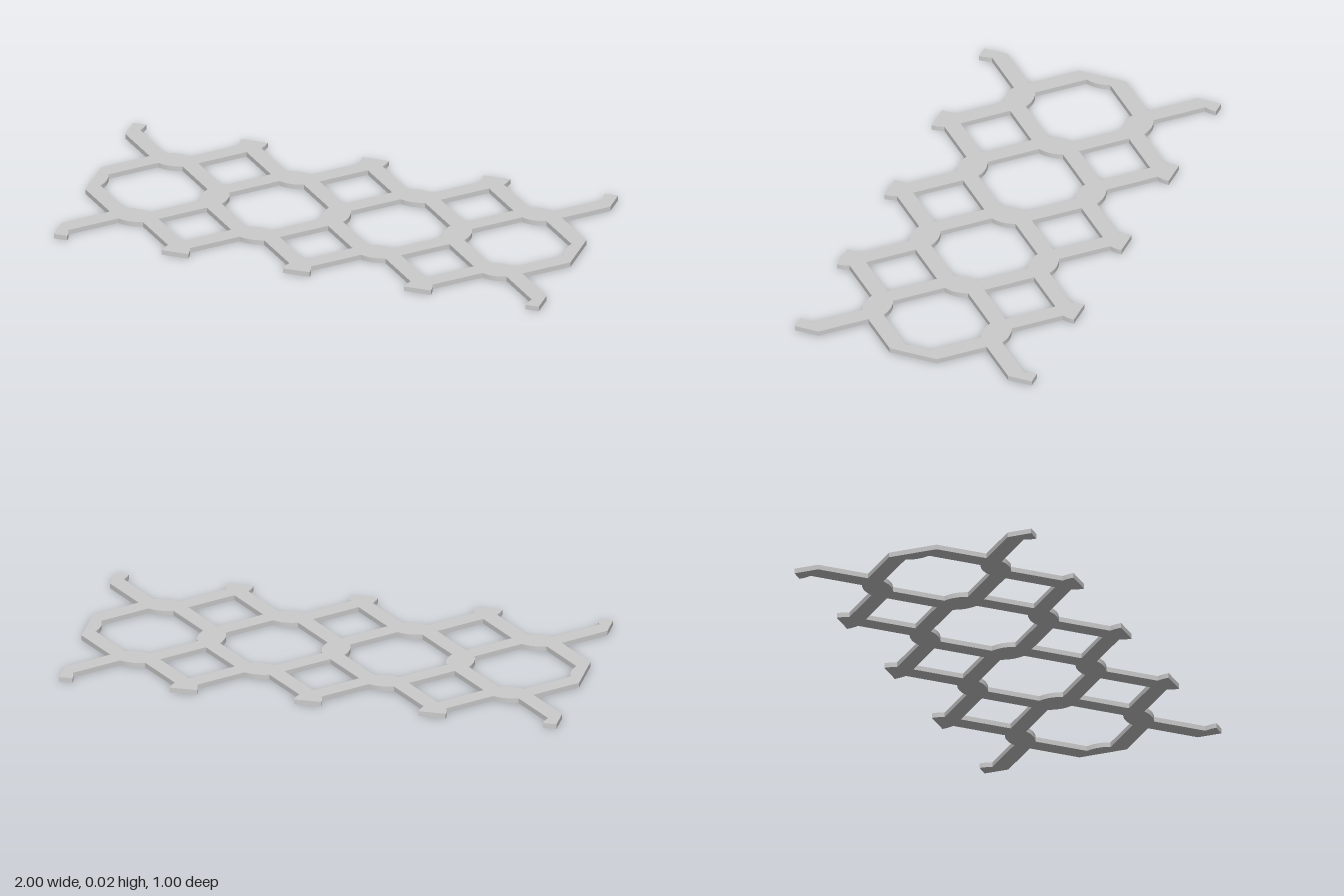
import * as THREE from 'three';

const THICK = 0.02;
const V = (x, y) => new THREE.Vector2(x, y);

// One quadrant of a large opening, counter-clockwise from its right joint to its top joint.
// Each joint bulges slightly into the opening.
function openingQuadrant() {
  const steps = 5, half = 0.05, pts = [];
  for (let i = 0; i <= steps; i++) {
    const t = i / steps;
    pts.push(V(0.195 + 0.01 * t * t, half * t));
  }
  const mirrored = pts.slice(1).reverse().map(p => V(p.y, p.x));
  return [...pts, ...mirrored]; // stops at (half / steps, ~0.195), next quadrant adds the tip
}

// Quadrants are turned by 90 degrees each to make half or full openings.
function opening(cx, cy, quadrants) {
  const pts = [];
  for (const q of quadrants) {
    for (const p of openingQuadrant()) {
      pts.push(p.clone().rotateAround(V(0, 0), q * Math.PI / 2).add(V(cx, cy)));
    }
  }
  return pts;
}

function diamond(cx, cy, r = 0.15) {
  return [V(cx + r, cy), V(cx, cy + r), V(cx - r, cy), V(cx, cy - r)];
}

export function createModel() {
  const group = new THREE.Group();
  group.name = 'latticePanel';
  const columns = [-0.75, -0.25, 0.25, 0.75];

  // Lower and right borders; a half turn of them gives the upper and left borders
  const border = [V(-1, -0.5)];
  for (const cx of columns) {
    border.push(...[...opening(cx, -0.5, [0, 1]), V(cx - 0.195, -0.5)].reverse());
  }
  border.push(V(1, -0.5));
  for (const cy of [-0.25, 0.25]) {
    border.push(V(1, cy - 0.15), V(0.85, cy), V(1, cy + 0.15));
  }
  const shape = new THREE.Shape([...border, ...border.map(p => V(-p.x, -p.y))]);

  // Full large openings along the middle row
  for (const cx of columns) {
    shape.holes.push(new THREE.Path(opening(cx, 0, [0, 1, 2, 3])));
  }
  // Diamond openings in two rows
  for (const cx of [-0.5, 0, 0.5]) {
    for (const cy of [-0.25, 0.25]) shape.holes.push(new THREE.Path(diamond(cx, cy)));
  }

  // Flat plate lying on the ground
  const geometry = new THREE.ExtrudeGeometry(shape, { depth: THICK, bevelEnabled: false });
  geometry.rotateX(-Math.PI / 2);
  const mesh = new THREE.Mesh(geometry, new THREE.MeshStandardMaterial({ color: 0xcccccc }));
  mesh.name = 'lattice';
  group.add(mesh);
  return group;
}
